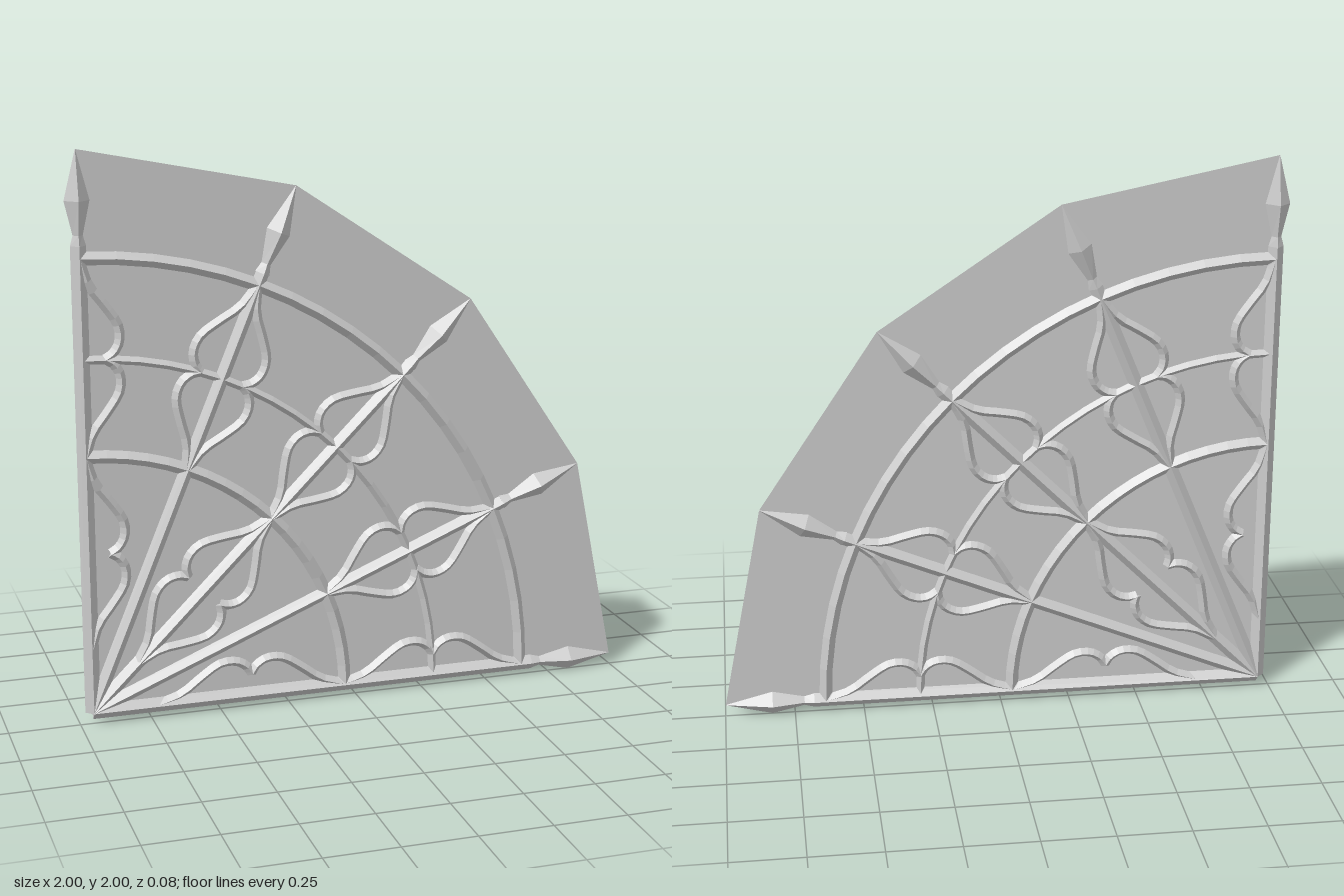
import * as THREE from 'three';

const CX = -0.955, CY = 0.045, TIP = 1.953;
const RINGS = { inner: 0.915, middle: 1.25, outer: 1.593 };
const ANGLES = [0, 1, 2, 3, 4].map(i => i * Math.PI / 8);

const material = new THREE.MeshStandardMaterial({ color: 0xcccccc, flatShading: true });
const sheet = new THREE.MeshStandardMaterial({ color: 0xcccccc, side: THREE.DoubleSide });

// point at distance r along a spoke, shifted sideways by off
function onSpoke(angle, r, off = 0) {
  const c = Math.cos(angle), s = Math.sin(angle);
  return new THREE.Vector2(CX + r * c - off * s, CY + r * s + off * c);
}

// diamond-section bar along a flat path; size(i) gives [half width, half depth]
function diamondBar(name, path, size) {
  const pos = [], idx = [], last = path.length - 1;
  path.forEach((p, i) => {
    const t = path[Math.min(i + 1, last)].clone().sub(path[Math.max(i - 1, 0)]).normalize();
    const [w, d] = size(i);
    pos.push(p.x - t.y * w, p.y + t.x * w, 0, p.x, p.y, d,
      p.x + t.y * w, p.y - t.x * w, 0, p.x, p.y, -d);
    if (i === last) return;
    for (let j = 0; j < 4; j++) {
      const a = i * 4 + j, b = i * 4 + (j + 1) % 4;
      idx.push(a, b, b + 4, a, b + 4, a + 4);
    }
  });
  const e = last * 4;
  idx.push(0, 3, 2, 0, 2, 1, e, e + 1, e + 2, e, e + 2, e + 3);
  const g = new THREE.BufferGeometry();
  g.setAttribute('position', new THREE.Float32BufferAttribute(pos, 3));
  g.setIndex(idx);
  g.computeVertexNormals();
  const mesh = new THREE.Mesh(g, material);
  mesh.name = name;
  return mesh;
}

// half an ogee: leaves the spoke, swells, and curls back into a cusp (r, offset)
const OGEE = new THREE.SplineCurve([
  [0, 0.005], [0.08, 0.03], [0.16, 0.088], [0.22, 0.125],
  [0.275, 0.129], [0.315, 0.108], [0.335, 0.078],
].map(p => new THREE.Vector2(...p))).getPoints(14);

// two half ogees meeting in a cusp, on one side of a spoke
function tracery(angle, r0, r1, side) {
  const group = new THREE.Group();
  group.name = 'tracery';
  const k = (r1 - r0) / 2 / 0.335;
  for (const [start, dir] of [[r0, 1], [r1, -1]]) {
    const path = OGEE.map(p => onSpoke(angle, start + dir * p.x * k, side * p.y));
    group.add(diamondBar('ogeeCurve', path, () => [0.017, 0.021]));
  }
  return group;
}

export function createModel() {
  const model = new THREE.Group();
  model.name = 'quarterFanGrille';

  // thin backing sheet stretched between the spear tips
  const outline = new THREE.Shape([new THREE.Vector2(CX, CY), ...ANGLES.map(a => onSpoke(a, TIP))]);
  const panel = new THREE.Mesh(new THREE.ShapeGeometry(outline), sheet);
  panel.name = 'panel';
  model.add(panel);

  // spokes with spear heads
  const shaft = [[0, 0.027, 0.025], [1.635, 0.027, 0.025]];
  const head = [[1.635, 0.027, 0.025], [1.67, 0.017, 0.018], [1.785, 0.043, 0.04], [TIP, 0.0005, 0.0005]];
  ANGLES.forEach((a, i) => {
    const edge = i === 0 || i === 4;
    for (const [name, prof] of [['spoke', shaft], ['spearHead', head]]) {
      model.add(diamondBar(name, prof.map(p => onSpoke(a, p[0])),
        k => [prof[k][1] * (edge || name !== 'spoke' ? 1 : 0.9), prof[k][2]]));
    }
    // tracery, only inward on the two edge spokes
    const sides = i === 0 ? [1] : i === 4 ? [-1] : [1, -1];
    for (const side of sides) {
      model.add(tracery(a, RINGS.inner, RINGS.outer - 0.01, side));
      if (i % 2 === 0) model.add(tracery(a, 0.235, RINGS.inner - 0.01, side));
    }
  });

  // concentric rings
  const widths = { inner: 0.023, middle: 0.015, outer: 0.023 };
  for (const name in RINGS) {
    const path = [];
    for (let i = 0; i <= 20; i++) path.push(onSpoke(i / 20 * Math.PI / 2, RINGS[name]));
    model.add(diamondBar(name + 'Ring', path, () => [widths[name], name === 'middle' ? 0.018 : 0.023]));
  }
  return model;
}
